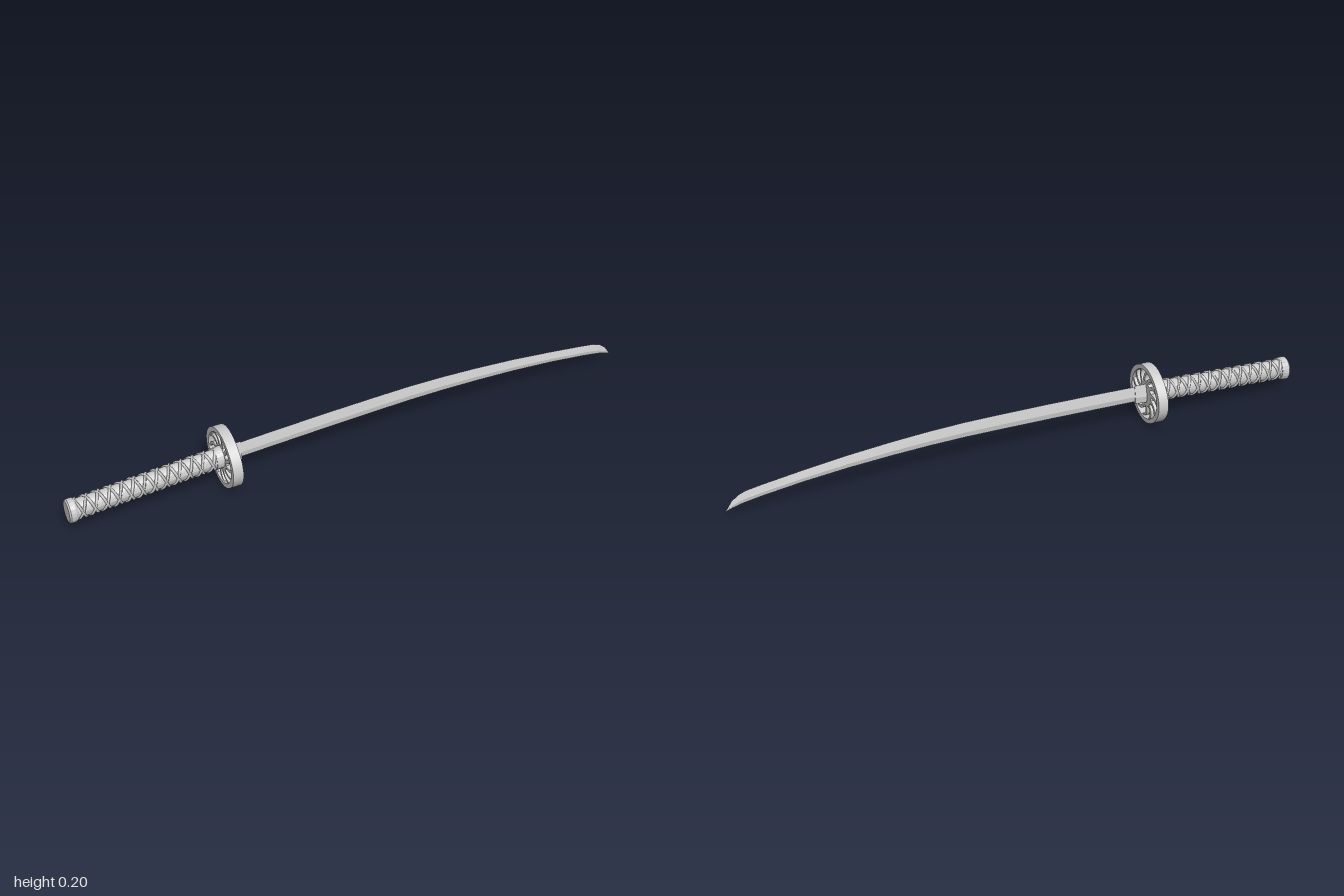
import * as THREE from 'three';

const TAU = Math.PI * 2;
const grey = new THREE.MeshStandardMaterial({ color: 0xcccccc });
const faceted = new THREE.MeshStandardMaterial({ color: 0xcccccc, flatShading: true });

// The sword runs along x, drifting slightly in z and rising along the grip.
const axisZ = x => -0.012 - 0.025 * x;
const axisY = x => 0.105 + 0.054 * (x + 0.48);

function add(group, name, geometry, material = faceted) {
  const mesh = new THREE.Mesh(geometry, material);
  mesh.name = name;
  group.add(mesh);
}

// Shear a geometry lying along x onto the sloping grip axis.
function slope(geometry) {
  const p = geometry.attributes.position;
  for (let i = 0; i < p.count; i++) {
    const x = p.getX(i);
    p.setXYZ(i, x, p.getY(i) + axisY(x), p.getZ(i) + axisZ(x));
  }
  geometry.computeVertexNormals();
  return geometry;
}

// Oval turned part: profile points are [x, half height], sides squeezed in z.
function oval(profile, squeeze, sides = 16) {
  const pts = profile.map(([x, r]) => new THREE.Vector2(r, x));
  return slope(new THREE.LatheGeometry(pts, sides).rotateZ(-Math.PI / 2).scale(1, -1, 1)
    .rotateX(Math.PI).scale(1, -1, squeeze));
}

// Same turned part, built directly so the faces point outward.
function turned(profile, squeeze, sides = 16) {
  const pts = profile.map(([x, r]) => new THREE.Vector2(r, x));
  return slope(new THREE.LatheGeometry(pts, sides).rotateZ(-Math.PI / 2).scale(1, 1, squeeze));
}

// Outline of the guard at an angle, slightly drawn in at the diagonals.
function ovalPoint(t, rx, ry) {
  const k = 1 - 0.03 * Math.sin(2 * t) ** 2;
  return new THREE.Vector2(rx * k * Math.cos(t), ry * k * Math.sin(t));
}
function ring(rx, ry, n = 72) {
  return Array.from({ length: n }, (_, i) => ovalPoint(i / n * TAU, rx, ry));
}

// Extrude a guard shape along x, centred on the guard.
function guardPlate(shape, depth) {
  return new THREE.ExtrudeGeometry(shape, { depth, bevelEnabled: false })
    .translate(0, 0, -depth / 2).rotateY(Math.PI / 2).translate(-0.467, 0.102, 0);
}

function buildGuard() {
  const guard = new THREE.Group();
  guard.name = 'guard';
  const rim = new THREE.Shape(ring(0.112, 0.102));
  rim.holes.push(new THREE.Path(ring(0.092, 0.087)));
  add(guard, 'guardRim', guardPlate(rim, 0.035));

  // Wheel with twelve swirling openings, leaving curved spokes
  const wheel = new THREE.Shape(ring(0.1, 0.093));
  const count = 12, step = TAU / count, n = 8;
  for (let s = 0; s < count; s++) {
    const at = (u, side) => {
      const half = step * (0.28 + 0.1 * u);
      const t = s * step - 0.4 * u * u + side * half;
      return ovalPoint(t, 0.041 + 0.052 * u, 0.046 + 0.042 * u);
    };
    const pts = [];
    for (let i = 0; i <= n; i++) pts.push(at(i / n, -1));
    for (let i = 1; i < 4; i++) pts.push(at(1, -1 + i / 2));
    for (let i = n; i >= 0; i--) pts.push(at(i / n, 1));
    wheel.holes.push(new THREE.Path(pts));
  }
  add(guard, 'guardSpokes', guardPlate(wheel, 0.026));
  return guard;
}

// Crossing cords wound around the grip
class Winding extends THREE.Curve {
  constructor(dir, phase) {
    super();
    this.dir = dir;
    this.phase = phase;
  }
  getPoint(t, target = new THREE.Vector3()) {
    const x = -0.975 + 0.475 * t;
    const a = this.phase + this.dir * t * 6 * TAU;
    return target.set(x, axisY(x) + 0.0335 * Math.cos(a), axisZ(x) + 0.0295 * Math.sin(a));
  }
}

function buildHandle() {
  const handle = new THREE.Group();
  handle.name = 'handle';
  add(handle, 'grip', turned([[-0.985, 0.034], [-0.74, 0.033], [-0.48, 0.034]], 0.88), grey);
  for (const dir of [-1, 1]) {
    for (const phase of [0, Math.PI]) {
      add(handle, 'gripCord', new THREE.TubeGeometry(new Winding(dir, phase), 200, 0.005, 5), grey);
    }
  }
  add(handle, 'pommel', turned([[-1, 0], [-1, 0.036], [-0.995, 0.041], [-0.978, 0.041],
    [-0.97, 0.036], [-0.97, 0]], 0.9, 20));
  add(handle, 'gripCollar', turned([[-0.505, 0], [-0.505, 0.037], [-0.48, 0.038], [-0.48, 0]], 0.88, 20));
  return handle;
}

// Loft five-sided sections [x, edge y, spine y, thickness factor] with the edge on top.
function loft(stations, halfRidge, halfSpine) {
  const pos = [], idx = [];
  for (const [x, top, low, k] of stations) {
    const z = axisZ(x), ridge = low + (top - low) * 0.36;
    pos.push(x, top, z, x, ridge, z + halfRidge * k, x, low, z + halfSpine * k,
      x, low, z - halfSpine * k, x, ridge, z - halfRidge * k);
  }
  for (let i = 0; i < stations.length - 1; i++) {
    for (let j = 0; j < 5; j++) {
      const a = i * 5 + j, b = i * 5 + (j + 1) % 5;
      idx.push(a, b, a + 5, b, b + 5, a + 5);
    }
  }
  const e = (stations.length - 1) * 5;
  for (let j = 1; j < 4; j++) idx.push(0, j + 1, j, e, e + j, e + j + 1);
  const g = new THREE.BufferGeometry();
  g.setAttribute('position', new THREE.Float32BufferAttribute(pos, 3));
  g.setIndex(idx);
  g.computeVertexNormals();
  return g;
}

export function createModel() {
  const sword = new THREE.Group();
  sword.name = 'sword';
  sword.add(buildHandle(), buildGuard());

  // Blade, curving down to a point at the spine
  add(sword, 'blade', loft([
    [-0.46, 0.136, 0.083, 1], [-0.3, 0.142, 0.088, 1], [-0.1, 0.148, 0.094, 1],
    [0.08, 0.151, 0.098, 1], [0.2, 0.152, 0.1, 1], [0.32, 0.149, 0.099, 1],
    [0.45, 0.142, 0.095, 1], [0.6, 0.13, 0.087, 0.95], [0.75, 0.113, 0.074, 0.9],
    [0.88, 0.096, 0.058, 0.85], [0.93, 0.088, 0.05, 0.8], [0.955, 0.079, 0.045, 0.7],
    [0.98, 0.06, 0.037, 0.5], [1, 0.029, 0.028, 0.05],
  ], 0.0085, 0.006));

  // Collar gripping the blade where it leaves the guard
  add(sword, 'bladeCollar', loft([[-0.46, 0.14, 0.074, 1], [-0.412, 0.141, 0.078, 0.9]], 0.013, 0.011));
  return sword;
}
